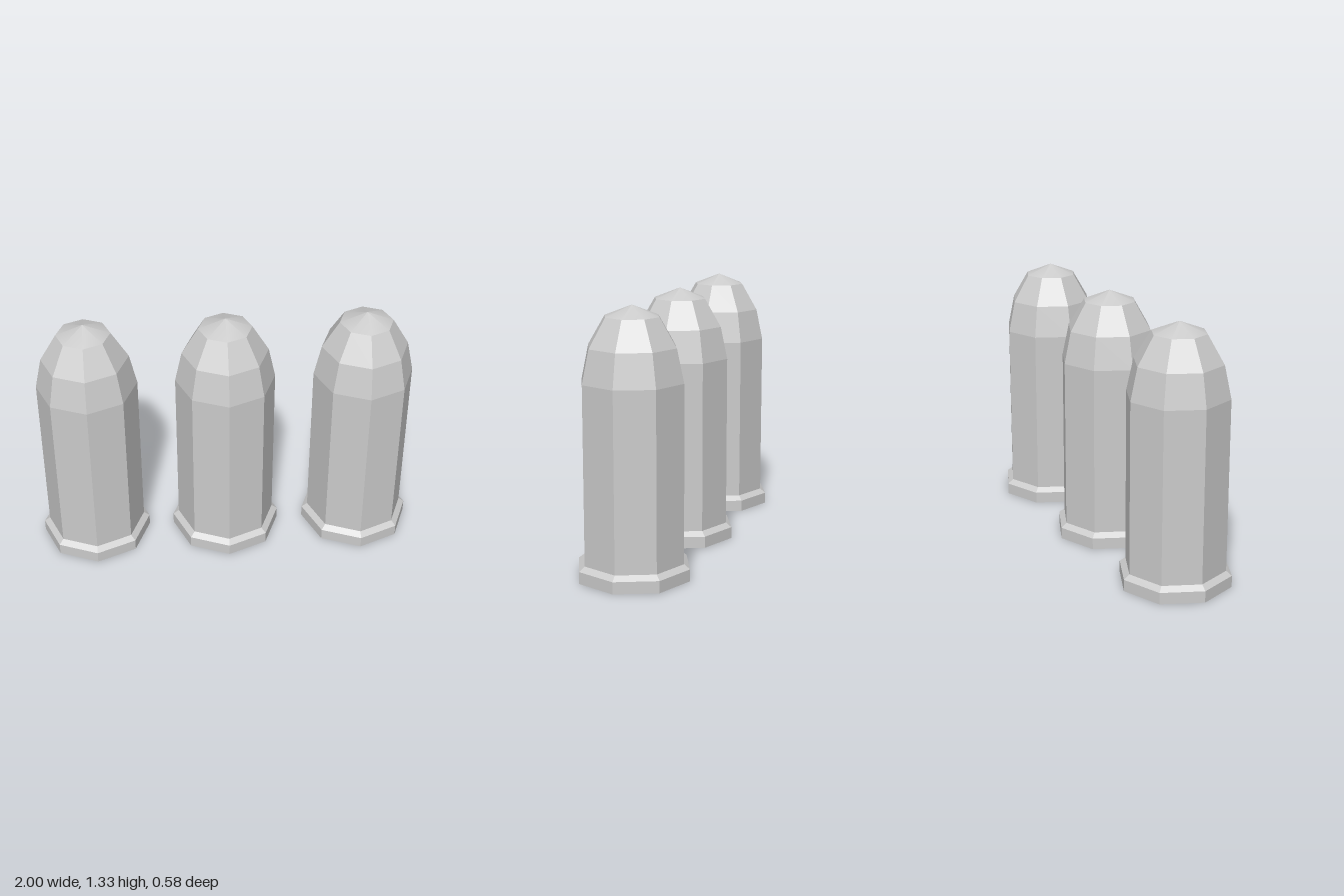
import * as THREE from 'three';

const SIDES = 8;

// Eight-sided turned part from [radius, height] pairs, listed bottom to top
function turned(name, profile, material) {
  const points = profile.map(([r, y]) => new THREE.Vector2(r, y));
  const mesh = new THREE.Mesh(new THREE.LatheGeometry(points, SIDES), material);
  mesh.name = name;
  return mesh;
}

function createCartridge(flat, smooth) {
  const cartridge = new THREE.Group();
  // Base disc with its bevelled rim
  cartridge.add(turned('baseRim', [[0, 0], [0.288, 0], [0.288, 0.06], [0.258, 0.083]], flat));
  // Straight casing
  cartridge.add(turned('casing', [[0.258, 0.083], [0.258, 0.965]], flat));
  // Tapering shoulder in two facet bands
  cartridge.add(turned('shoulder', [[0.258, 0.965], [0.222, 1.13], [0.137, 1.272]], flat));
  // Smooth-shaded shallow tip
  cartridge.add(turned('tip', [[0.137, 1.272], [0, 1.326]], smooth));
  return cartridge;
}

export function createModel() {
  const model = new THREE.Group();
  model.name = 'cartridges';
  const flat = new THREE.MeshStandardMaterial({ color: 0xcccccc, flatShading: true });
  const smooth = new THREE.MeshStandardMaterial({ color: 0xcccccc });

  // Row of three
  [['right', -0.712], ['middle', -0.003], ['left', 0.712]].forEach(([side, x]) => {
    const cartridge = createCartridge(flat, smooth);
    cartridge.name = `${side}Cartridge`;
    cartridge.position.x = x;
    model.add(cartridge);
  });
  return model;
}
